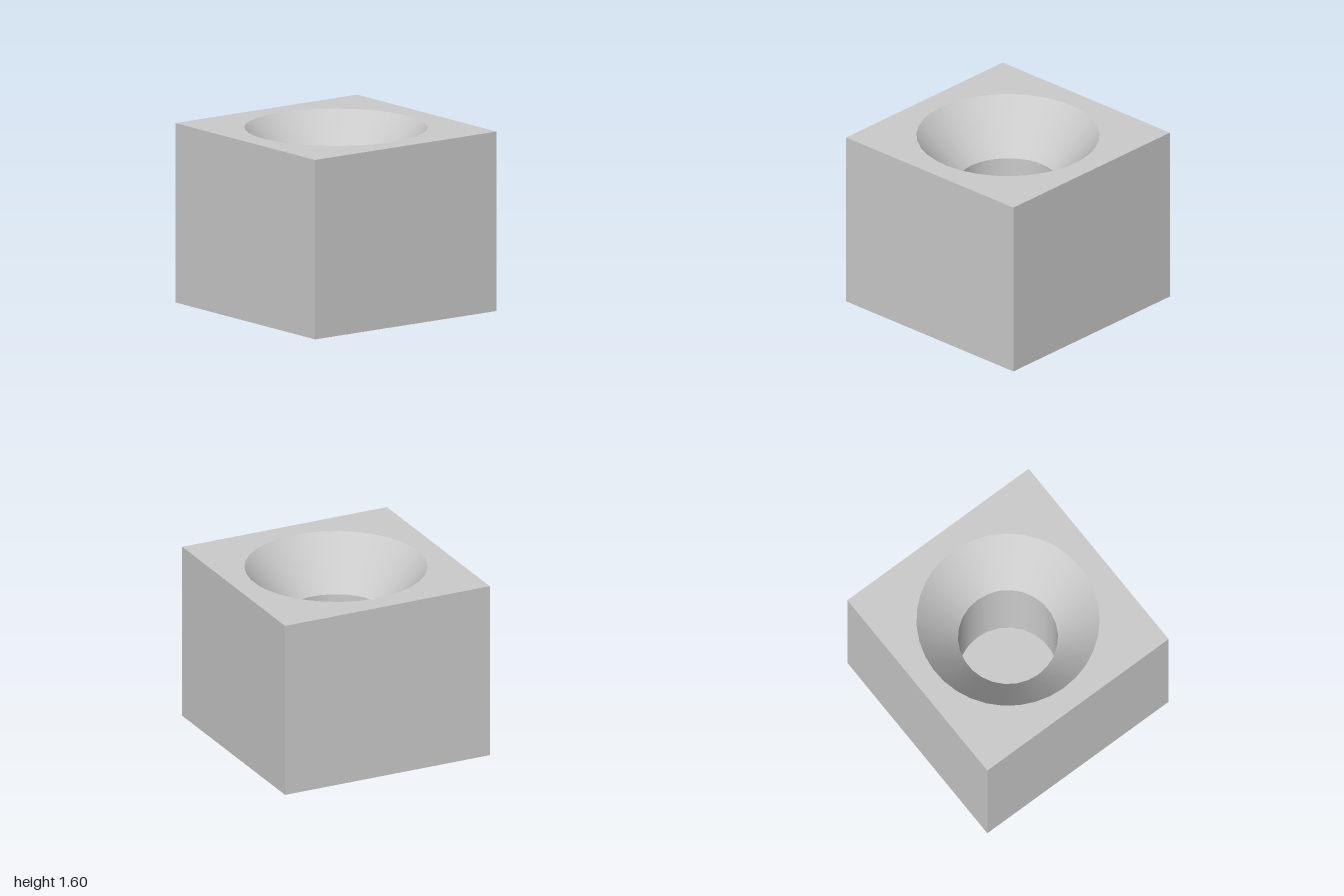
import * as THREE from 'three';

const HEIGHT = 1.6, HALF = 1;
const RIM_R = 0.8, RIM_SIDES = 35;     // wide mouth of the funnel
const BORE_R = 0.437, BORE_SIDES = 26; // narrow straight bore
const NECK_Y = 1.155, FLOOR_Y = 0.2;   // funnel end and blind floor

export function createModel() {
  const group = new THREE.Group();
  const material = new THREE.MeshStandardMaterial({ color: 0xcccccc });
  const add = (name, geometry) => {
    const mesh = new THREE.Mesh(geometry, material);
    mesh.name = name;
    group.add(mesh);
  };

  // Four side walls and the base: a box without its top face
  const box = new THREE.BoxGeometry(2 * HALF, HEIGHT, 2 * HALF).translate(0, HEIGHT / 2, 0);
  box.setIndex([...box.index.array].filter((_, i) => i < 12 || i >= 18));
  box.clearGroups();
  add('blockSides', box);

  // Top face with the round mouth cut out
  const top = new THREE.Shape([[-1, -1], [1, -1], [1, 1], [-1, 1]]
    .map(([x, y]) => new THREE.Vector2(x * HALF, y * HALF)));
  top.holes.push(new THREE.Path(Array.from({ length: RIM_SIDES }, (_, i) => {
    const a = i / RIM_SIDES * Math.PI * 2;
    return new THREE.Vector2(RIM_R * Math.sin(a), -RIM_R * Math.cos(a));
  })));
  add('topFace', new THREE.ShapeGeometry(top).rotateX(-Math.PI / 2).translate(0, HEIGHT, 0));

  // Inward-facing wall of revolution, listed from top to bottom
  const innerWall = (r0, y0, r1, y1, sides) => new THREE.LatheGeometry(
    [new THREE.Vector2(r0, y0), new THREE.Vector2(r1, y1)], sides);

  // Funnel: its lower ring is snapped to the corners of the bore
  const funnel = innerWall(RIM_R, HEIGHT, BORE_R, NECK_Y, RIM_SIDES);
  const slope = Math.atan2(RIM_R - BORE_R, HEIGHT - NECK_Y);
  for (let i = 0; i <= RIM_SIDES; i++) {
    const step = Math.round(i / RIM_SIDES * BORE_SIDES);
    const a = step / BORE_SIDES * Math.PI * 2;
    const v = 2 * i + 1;
    funnel.attributes.position.setXYZ(v, BORE_R * Math.sin(a), NECK_Y, BORE_R * Math.cos(a));
    funnel.attributes.normal.setXYZ(v,
      -Math.sin(a) * Math.cos(slope), Math.sin(slope), -Math.cos(a) * Math.cos(slope));
  }
  add('funnel', funnel);

  // Straight bore and its flat floor
  add('boreWall', innerWall(BORE_R, NECK_Y, BORE_R, FLOOR_Y, BORE_SIDES));
  add('boreFloor', new THREE.CircleGeometry(BORE_R, BORE_SIDES, -Math.PI / 2)
    .rotateX(-Math.PI / 2).translate(0, FLOOR_Y, 0));

  return group;
}
